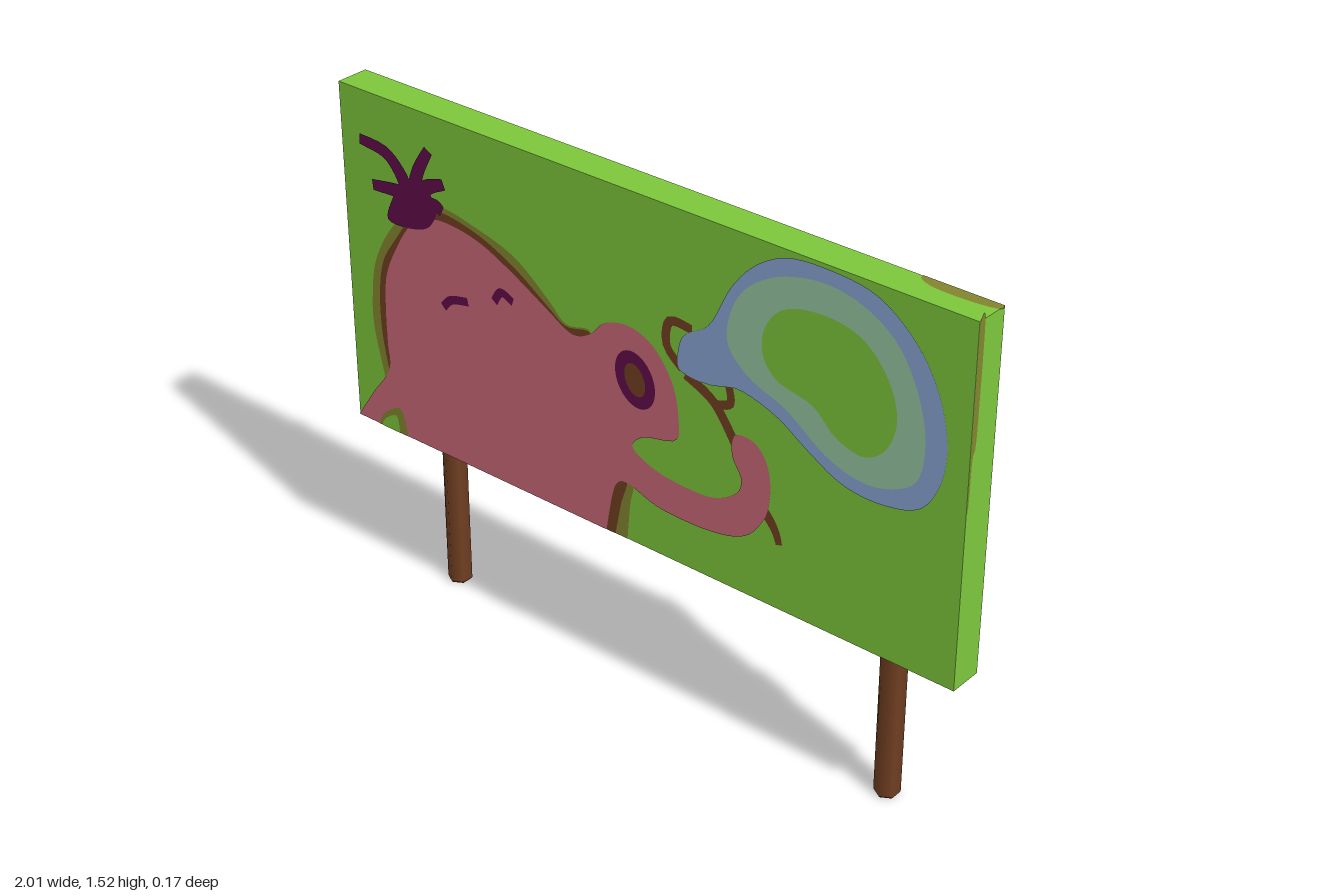
import * as THREE from 'three';

const mat = (name, color) => new THREE.MeshStandardMaterial({ name, color });

export function createModel() {
  const green = mat('leaf green', 0x7dc83c), olive = mat('olive', 0x84862f);
  const brown = mat('brown', 0x713f22), pink = mat('pink', 0xca6879);
  const purple = mat('dark purple', 0x610e49), blue = mat('soft blue', 0x8aa5d3);
  const pale = mat('pale green', 0x96c6a2), mint = mat('mint', 0xa0d2ba);
  const root = new THREE.Group();
  root.name = 'billboard';

  const add = (name, geometry, material, x = 0, y = 0, z = 0, parent = root) => {
    const m = new THREE.Mesh(geometry, material);
    m.name = name;
    m.position.set(x, y, z);
    parent.add(m);
    return m;
  };

  // Board
  const FRONT = 0.083, BACK = -0.014, STEP = 0.0009;
  add('board', new THREE.BoxGeometry(2, 1, FRONT - BACK), green, 0, 1, (FRONT + BACK) / 2);

  // Outlines are in hundredths of a unit: a smooth line through x,y pairs.
  // Open outlines close with a straight line along the board edge.
  const toPoints = (a, mirror = 1) => {
    const p = [];
    for (let i = 0; i < a.length; i += 2) p.push(new THREE.Vector2(mirror * a[i] / 100, a[i + 1] / 100));
    return p;
  };
  const outline = (a, closed = false, mirror = 1) => {
    const p = toPoints(a, mirror);
    if (!closed) return new THREE.Shape(new THREE.SplineCurve(p).getPoints(p.length * 5));
    const c = new THREE.CatmullRomCurve3(p.map(v => new THREE.Vector3(v.x, v.y, 0)), true);
    return new THREE.Shape(c.getPoints(p.length * 5).map(v => new THREE.Vector2(v.x, v.y)));
  };
  const oval = (x, y, rx, ry, tilt = 0) => new THREE.Shape().absellipse(x, y, rx, ry, 0, Math.PI * 2, false, tilt);
  // Brush stroke of a given width, tapering to the end
  const stroke = (a, w0, w1 = w0) => {
    const c = new THREE.SplineCurve(toPoints(a)), l = [], r = [];
    for (let i = 0; i <= 12; i++) {
      const t = i / 12, p = c.getPoint(t), d = c.getTangent(t), w = (w0 + (w1 - w0) * t) / 2;
      l.push(new THREE.Vector2(p.x - d.y * w, p.y + d.x * w));
      r.unshift(new THREE.Vector2(p.x + d.y * w, p.y - d.x * w));
    }
    return new THREE.Shape([...l, ...r]);
  };
  const front = (name, m, layer, shape) => add(name, new THREE.ShapeGeometry(shape, 24), m, 0, 0, FRONT + layer * STEP);
  const back = (name, m, layer, shape) => {
    add(name, new THREE.ShapeGeometry(shape, 24), m, 0, 0, BACK - layer * STEP).rotation.y = Math.PI;
  };

  // Animal with its shadow outline
  front('headShadow', olive, 1, outline([-89, 66, -92, 80, -92, 90, -90, 101, -84, 112, -76, 120, -66, 125,
    -52, 123, -39, 119, -28, 111, -22, 106, -14, 107, -14, 100]));
  front('headOutline', brown, 2, outline([-87, 68, -89, 80, -89, 92, -87, 102, -82, 110, -75, 119, -66, 123.5,
    -52, 121.5, -39, 116, -28, 109, -22, 105.5, -14, 106.5, -14, 100]));
  front('chestShadow', olive, 1, outline([-12, 50, -6, 66, 0, 67.5, -1, 61, -2, 50]));
  front('chestOutline', brown, 2, outline([-12, 50, -7, 66, -2, 67.5, -4, 60, -6, 50]));
  front('animalBody', pink, 3, outline([-100, 50, -94, 59, -87, 69, -87, 77, -87, 88, -86, 98, -82, 107, -76, 116,
    -68, 120.5, -60, 121, -50, 119, -39, 114, -28, 108, -20, 104, -14, 106, -9, 111, -1, 113, 7, 110, 13, 102,
    15, 93, 14, 86, 4, 83, 0, 79, 4, 76, 12, 74, 25, 74, 33, 78, 35, 83, 32, 89, 33, 95, 39, 95, 43, 90, 44, 82,
    42, 74, 36, 67, 25, 64, 9, 64, -1, 67, -5, 66, -7, 61, -9, 50]));
  front('armGap', olive, 4, outline([-92, 50, -90, 54, -84, 58, -82, 55, -81, 50]));
  front('armGapCentre', green, 5, outline([-91, 50, -89, 53, -85, 55, -84, 50]));
  front('nostrilRim', purple, 4, oval(0.01, 0.985, 0.063, 0.08, 0.35));
  front('nostril', brown, 5, oval(0.01, 0.985, 0.032, 0.046, 0.35));
  front('eye', purple, 4, stroke([-65, 96, -62, 99, -56, 100.5], 0.024));
  front('eye', purple, 4, stroke([-46.5, 104, -44, 107.5, -40, 106], 0.024));
  front('tail', brown, 2, stroke([41, 78, 44, 75, 46, 72, 47, 69], 0.035, 0.02));

  // Hair tuft
  front('hairBase', purple, 4, outline([-84, 115.5, -75, 115.5, -69, 118, -66, 124, -70, 129, -78, 128, -82, 122], true));
  [[-76, 126, -79, 131, -84, 135, -93, 136], [-74, 125, -80, 125, -89, 124], [-74, 126, -72, 133, -68, 140],
    [-72, 127, -68, 130, -63, 132], [-70, 124, -66, 125, -64, 124]]
    .forEach(s => front('hairStrand', purple, 5, stroke(s, 0.05, 0.03)));

  // Balloon and string
  front('stringLoop', brown, 1, stroke([16, 107, 11, 112, 12, 119, 19, 119], 0.026));
  front('string', brown, 1, stroke([17, 106, 26, 101.5, 33, 92], 0.03));
  front('string', brown, 1, stroke([26, 101, 31, 103, 30.5, 108], 0.024));
  front('balloonEdge', blue, 3, outline([15, 107, 16, 116, 24, 122, 31, 135, 38, 143, 47, 148, 60, 149, 73, 147, 84, 139,
    91, 128, 94, 114, 92, 103, 87, 96, 76, 93, 65, 94, 55, 99, 45, 105, 33, 108, 25, 106, 18, 106], true));
  front('balloonBand', pale, 4, outline([30, 120, 33, 133, 42, 141, 55, 145, 67, 144, 78, 138, 85, 127, 88, 114, 86, 103,
    78, 98, 70, 97, 60, 100, 48, 108, 36, 113], true));
  front('balloonCentre', green, 5, outline([41, 127, 46, 134, 57, 137, 69, 135, 77, 127, 80, 117, 77, 108, 71, 104,
    63, 106, 56, 112, 45, 115, 41, 120], true));

  // Blotches on the back
  const blot = (name, m, layer, a) => back(name, m, layer, outline(a, false, -1));
  const corner = (x, y) => [x * 100, y * 100];
  const edged = (name, m, layer, a, [cx, cy]) => {
    const s = outline(a, false, -1);
    s.lineTo(-cx / 100, cy / 100);
    back(name, m, layer, s);
  };
  edged('topBlotch', olive, 1, [81, 150, 80, 143, 67, 143, 58, 145, 49, 141, 46, 134, 53, 125, 64, 121, 74, 119,
    79, 110, 82, 98, 90, 93, 100, 89], corner(1, 1.5));
  edged('topBlotchCentre', brown, 2, [81, 150, 81, 141, 78, 136, 72, 130, 74, 124, 81, 120, 84, 112, 85, 103,
    100, 95.5], corner(1, 1.5));
  edged('lowBlotch', olive, 1, [83, 50, 86, 59, 94, 64, 100, 68], corner(1, 0.5));
  edged('lowBlotchCentre', brown, 2, [88, 50, 92, 56.5, 100, 58], corner(1, 0.5));
  edged('cornerBlotch', olive, 1, [-72, 50, -74, 68, -77, 85, -84, 88, -91, 84, -100, 80.5], corner(-1, 0.5));
  edged('cornerBlotchCentre', brown, 2, [-74, 50, -77, 67, -82, 73, -87, 76, -93, 77, -100, 77], corner(-1, 0.5));
  blot('middleBlotch', olive, 1, [-1.5, 50, 4.6, 59, 6.5, 67, 3, 73.5, -8, 76, -17.5, 74, -31, 83.5, -43, 82.5,
    -49.5, 75, -48.5, 64.5, -55, 50]);
  blot('middleBlotchCentre', brown, 2, [-2, 50, -5, 58, -12, 60, -19, 60, -31, 68, -39, 70, -44.5, 65, -49, 50]);
  back('spot', olive, 1, oval(-0.49, 1.086, 0.122, 0.109));
  back('spotCentre', brown, 2, oval(-0.49, 1.086, 0.048, 0.035));
  back('spot', olive, 1, oval(-0.1, 1.3, 0.13, 0.122));
  back('spot', olive, 1, oval(0.57, 1.124, 0.092, 0.09));

  // Blotch running over the edges
  add('sideBlotch', new THREE.ShapeGeometry(outline([-8.3, 150, -6.3, 150, -6.3, 125, -6.6, 117, -7.5, 114, -7.8, 102, -8.3, 100])),
    olive, 1.001).rotation.y = Math.PI / 2;
  add('topEdgeBlotch', new THREE.ShapeGeometry(outline([78, 1.4, 79, -0.5, 84, -2, 93, -2, 100, -0.8, 100, 1.4])),
    olive, 0, 1.501).rotation.x = -Math.PI / 2;

  // Extrudes a plan of x,-z pairs upwards
  const upward = (pts, h) => new THREE.ExtrudeGeometry(new THREE.Shape(toPoints(pts)),
    { depth: h, bevelEnabled: false }).rotateX(-Math.PI / 2);

  // Posts with their clamps
  for (const side of [-1, 1]) {
    const post = new THREE.Group();
    post.name = 'postAssembly';
    post.position.x = side * 0.75;
    root.add(post);
    add('post', new THREE.CylinderGeometry(0.035, 0.035, 1.255, 6), brown, 0, 0.6325, -0.03, post);
    add('postTop', new THREE.CylinderGeometry(0.026, 0.035, 0.01, 6), brown, 0, 1.265, -0.03, post);
    add('postFoot', new THREE.CylinderGeometry(0.035, 0.031, 0.005, 6), brown, 0, 0.0025, -0.03, post);
    add('paintDrip', new THREE.CylinderGeometry(0.037, 0.037, 0.025, 2, 1, true, -Math.PI / 3, Math.PI * 2 / 3),
      green, 0, 0.488, -0.03, post);
    for (const y of [0.57, 1.07]) {
      const clamp = new THREE.Group();
      clamp.name = 'clamp';
      clamp.position.y = y;
      post.add(clamp);
      add('clampSaddle', upward([-4.4, 1.4, 4.4, 1.4, 4.4, 5.4, 2.8, 6.2, 0, 7.4, -2.8, 6.2, -4.4, 5.4], 0.127), brown, 0, 0.001, 0, clamp);
      add('clampStrap', upward([-4.6, 5.3, 0, 7.4, 4.6, 5.3, 4.8, 6.3, 3.4, 7.1, 0, 8.7, -3.4, 7.1, -4.8, 6.3], 0.13), mint, 0, 0, 0, clamp);
      for (const s of [-1, 1]) {
        add('clampFlange', new THREE.BoxGeometry(0.038, 0.12, 0.019), brown, s * 0.061, 0.065, -0.0235, clamp);
        add('clampBolt', new THREE.BoxGeometry(0.016, 0.02, 0.006), mint, s * 0.065, 0.06, -0.034, clamp);
      }
    }
  }
  return root;
}
